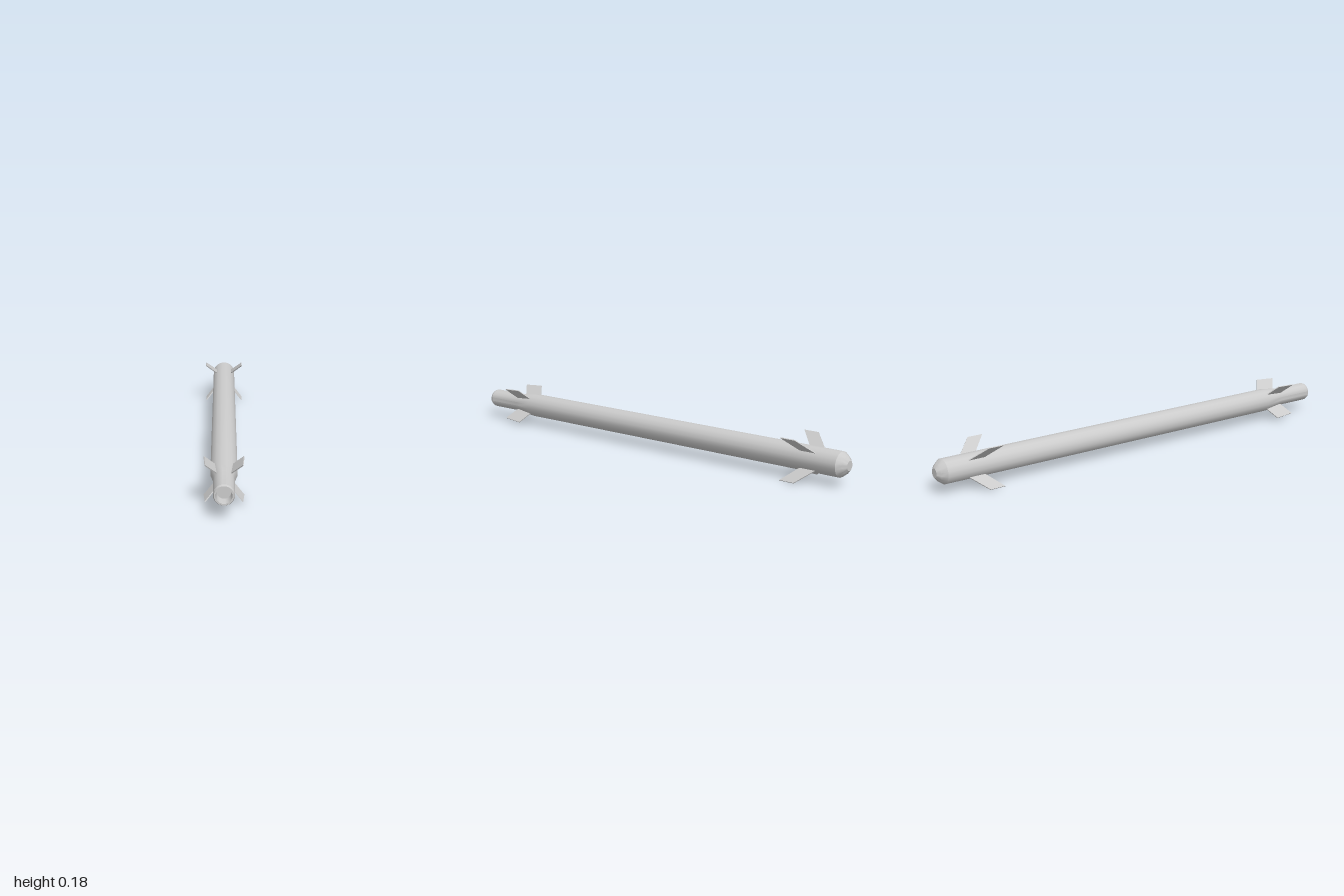
import * as THREE from 'three';
import { toCreasedNormals } from 'three/addons/utils/BufferGeometryUtils.js';

const SIDES = 16;
const AXIS_Y = 0.088;
const FIN_THICKNESS = 0.004;

// Turned part along z, from [radius, z] pairs running back to front
function turned(name, profile, material) {
  const points = profile.map(([r, z]) => new THREE.Vector2(r, z));
  const lathe = new THREE.LatheGeometry(points, SIDES, Math.PI / SIDES);
  lathe.rotateX(Math.PI / 2);
  const mesh = new THREE.Mesh(toCreasedNormals(lathe, 0.5), material);
  mesh.name = name;
  return mesh;
}

// Four thin fins in an X, from an outline of [radius, z] pairs
function finSet(name, outline, material) {
  const shape = new THREE.Shape(outline.map(([r, z]) => new THREE.Vector2(r, z)));
  const geometry = new THREE.ExtrudeGeometry(shape, { depth: FIN_THICKNESS, bevelEnabled: false });
  geometry.translate(0, 0, -FIN_THICKNESS / 2);
  geometry.rotateX(Math.PI / 2);
  const set = new THREE.Group();
  set.name = name;
  for (let i = 0; i < 4; i++) {
    const fin = new THREE.Mesh(geometry, material);
    fin.name = name.replace(/s$/, '') + (i + 1);
    fin.rotation.z = Math.PI / 4 + i * Math.PI / 2;
    set.add(fin);
  }
  return set;
}

export function createModel() {
  const material = new THREE.MeshStandardMaterial({ color: 0xcccccc });
  const model = new THREE.Group();
  model.name = 'finnedTube';

  const assembly = new THREE.Group();
  assembly.name = 'assembly';
  assembly.position.y = AXIS_Y;
  model.add(assembly);

  // Blunt rounded cap at the back
  assembly.add(turned('endCap', [
    [0, -1], [0.02, -1], [0.036, -0.988], [0.053, -0.965],
  ], material));

  // Long body tapering to the narrow front tube
  assembly.add(turned('body', [
    [0.053, -0.965], [0.053, 0.73], [0.041, 0.82], [0.041, 0.99],
  ], material));

  // Bevelled rim and hollow front opening
  assembly.add(turned('frontOpening', [
    [0.041, 0.99], [0.037, 1], [0.031, 1], [0.028, 0.95], [0, 0.95],
  ], material));

  // Fins, with roots sunk slightly into the body
  assembly.add(finSet('frontFins', [
    [0.036, 0.82], [0.05, 0.73], [0.108, 0.765], [0.1, 0.86],
  ], material));
  assembly.add(finSet('rearFins', [
    [0.05, -0.795], [0.05, -0.867], [0.1235, -0.8], [0.1235, -0.732],
  ], material));

  return model;
}
